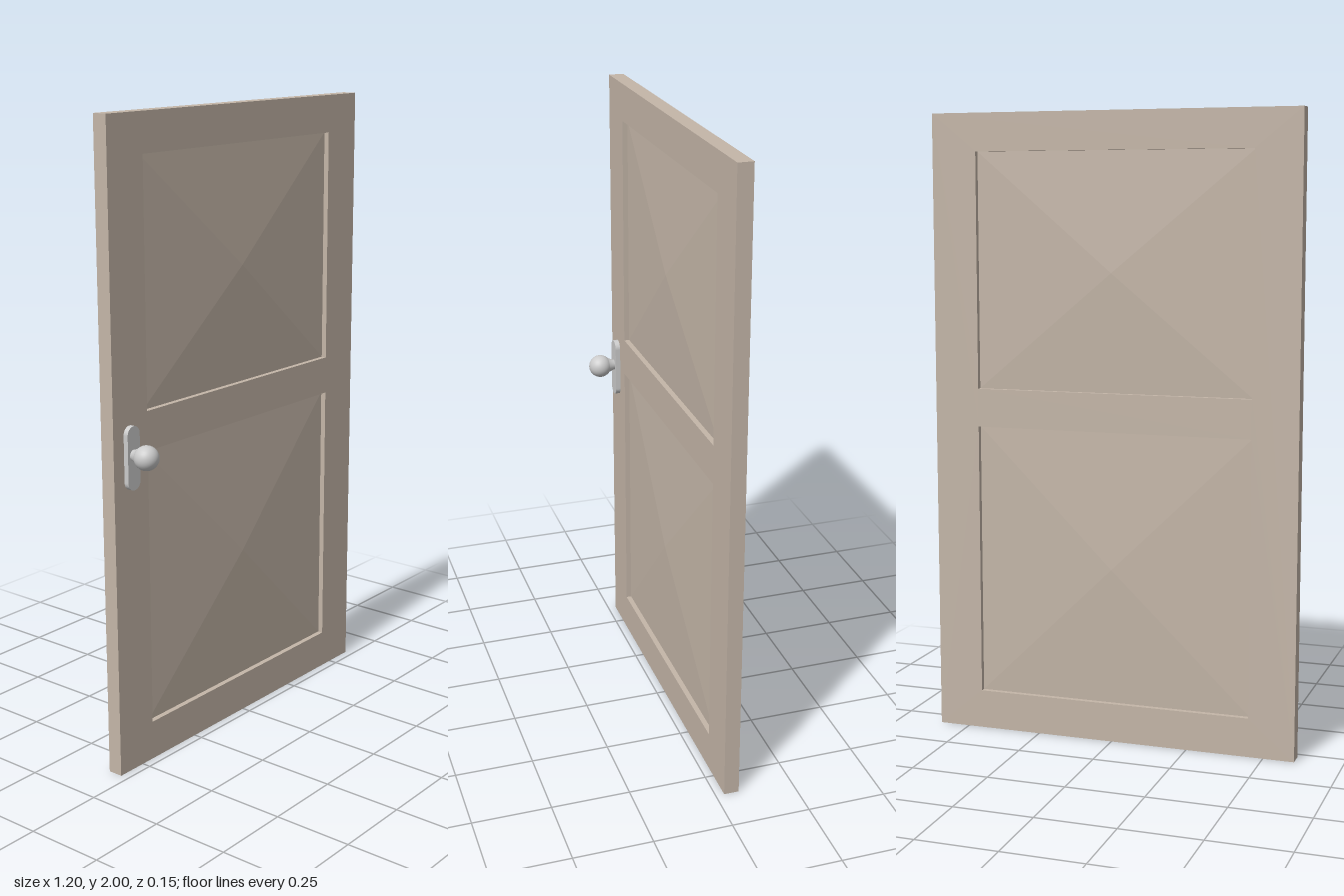
import * as THREE from 'three';

const DOOR_Z = -0.0515, THICKNESS = 0.048;
const RECESS = 0.017; // depth of the panel edge below the frame face

// Rectangle path centred on (0, cy)
function rect(target, w, y0, y1) {
  target.moveTo(-w / 2, y0);
  target.lineTo(w / 2, y0);
  target.lineTo(w / 2, y1);
  target.lineTo(-w / 2, y1);
  target.closePath();
  return target;
}

// Shallow four-sided pyramid facing +z, base at z = 0
function pyramid(w, h, rise) {
  const c = [[-w / 2, -h / 2], [w / 2, -h / 2], [w / 2, h / 2], [-w / 2, h / 2]];
  const pos = [];
  c.forEach((a, i) => {
    const b = c[(i + 1) % 4];
    pos.push(...a, 0, ...b, 0, 0, 0, rise);
  });
  const geo = new THREE.BufferGeometry();
  geo.setAttribute('position', new THREE.Float32BufferAttribute(pos, 3));
  geo.computeVertexNormals();
  return geo;
}

export function createModel() {
  const model = new THREE.Group();
  model.name = 'door';
  const wood = new THREE.MeshStandardMaterial({ color: 0xc4b6a8 });
  const metal = new THREE.MeshStandardMaterial({ color: 0xcccccc });

  const add = (parent, name, geo, mat, x = 0, y = 0, z = 0) => {
    const mesh = new THREE.Mesh(geo, mat);
    mesh.name = name;
    mesh.position.set(x, y, z);
    parent.add(mesh);
    return mesh;
  };

  // Frame with two rectangular openings
  const panels = [
    { name: 'lowerPanel', y0: 0.125, y1: 1.005 },
    { name: 'upperPanel', y0: 1.128, y1: 1.88 },
  ];
  const width = 0.904;
  const outline = rect(new THREE.Shape(), 1.2, 0, 2);
  panels.forEach((p) => outline.holes.push(rect(new THREE.Path(), width, p.y0, p.y1)));
  const frame = new THREE.ExtrudeGeometry(outline, { depth: THICKNESS, bevelEnabled: false });
  add(model, 'frame', frame, wood, 0, 0, DOOR_Z - THICKNESS / 2);

  // Recessed panels, raised to a point on both faces
  const half = THICKNESS / 2 - RECESS;
  panels.forEach((p) => {
    const panel = new THREE.Group();
    panel.name = p.name;
    panel.position.set(0, (p.y0 + p.y1) / 2, DOOR_Z);
    const geo = pyramid(width, p.y1 - p.y0, RECESS);
    add(panel, 'panelFront', geo, wood, 0, 0, half);
    add(panel, 'panelBack', geo, wood, 0, 0, -half).rotation.y = Math.PI;
    model.add(panel);
  });

  // Handle on the front face
  const handle = new THREE.Group();
  handle.name = 'handle';
  handle.position.set(-0.53, 1.003, DOOR_Z + THICKNESS / 2);
  model.add(handle);

  // Backplate with rounded ends
  const r = 0.026, h = 0.098 - r;
  const plate = new THREE.Shape();
  plate.absarc(0, h, r, 0, Math.PI);
  plate.absarc(0, -h, r, Math.PI, Math.PI * 2);
  plate.closePath();
  add(handle, 'backplate',
    new THREE.ExtrudeGeometry(plate, { depth: 0.016, bevelEnabled: false, curveSegments: 16 }), metal);

  // Round knob with a tapered neck
  const R = 0.038, centre = 0.065;
  const profile = [new THREE.Vector2(0.017, 0.012), new THREE.Vector2(0.018, 0.02)];
  for (let i = 0; i <= 20; i++) {
    const a = THREE.MathUtils.lerp(-0.87, Math.PI / 2, i / 20);
    profile.push(new THREE.Vector2(Math.max(0, R * Math.cos(a)), centre + R * Math.sin(a)));
  }
  const knob = new THREE.LatheGeometry(profile, 32).rotateX(Math.PI / 2);
  add(handle, 'knob', knob, metal, 0, 0.01, 0);

  return model;
}
